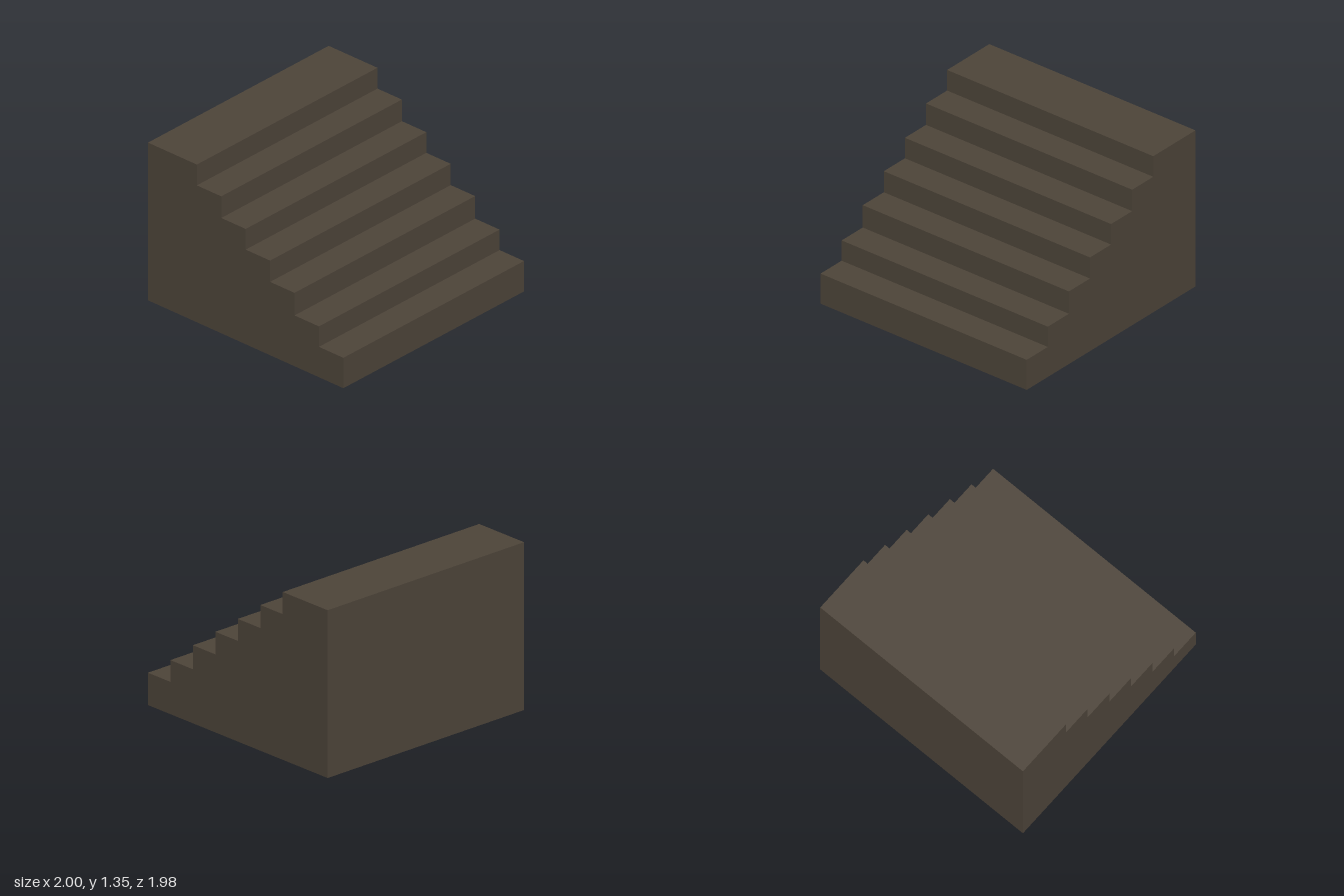
import * as THREE from 'three';

const HALF_W = 0.997, HALF_D = 0.988;
const HEIGHTS = [0.26, 0.435, 0.628, 0.81, 0.987, 1.172, 1.35];
const STEP = HALF_D / 4; // tread depth; the top landing is two treads deep

export function createModel() {
  const group = new THREE.Group();
  group.name = 'staircase';
  const brown = new THREE.MeshStandardMaterial({ color: 0x4e453a, side: THREE.DoubleSide });
  brown.name = 'dark brown';

  const add = (name, geometry, x, y, z) => {
    const mesh = new THREE.Mesh(geometry, brown);
    mesh.name = name;
    mesh.position.set(x, y, z);
    group.add(mesh);
    return mesh;
  };

  // Thin shell, open underneath: one riser and one tread per step
  const profile = new THREE.Shape().moveTo(-HALF_D, 0).lineTo(HALF_D, 0);
  let base = 0;
  HEIGHTS.forEach((top, i) => {
    const front = HALF_D - i * STEP;
    const back = i === HEIGHTS.length - 1 ? -HALF_D : front - STEP;
    add('riser' + (i + 1), new THREE.PlaneGeometry(2 * HALF_W, top - base), 0, (top + base) / 2, front);
    const tread = new THREE.PlaneGeometry(2 * HALF_W, front - back).rotateX(-Math.PI / 2);
    add('tread' + (i + 1), tread, 0, top, (front + back) / 2);
    profile.lineTo(front, top).lineTo(back, top);
    base = top;
  });

  // Stepped side walls
  for (const side of [-1, 1]) {
    const wall = new THREE.ShapeGeometry(profile).rotateY(-Math.PI / 2);
    add(side < 0 ? 'rightWall' : 'leftWall', wall, side * HALF_W, 0, 0);
  }

  // Back wall
  const backWall = new THREE.PlaneGeometry(2 * HALF_W, base).rotateY(Math.PI);
  add('backWall', backWall, 0, base / 2, -HALF_D);

  group.rotation.y = 0.003; // stands very slightly askew
  return group;
}
